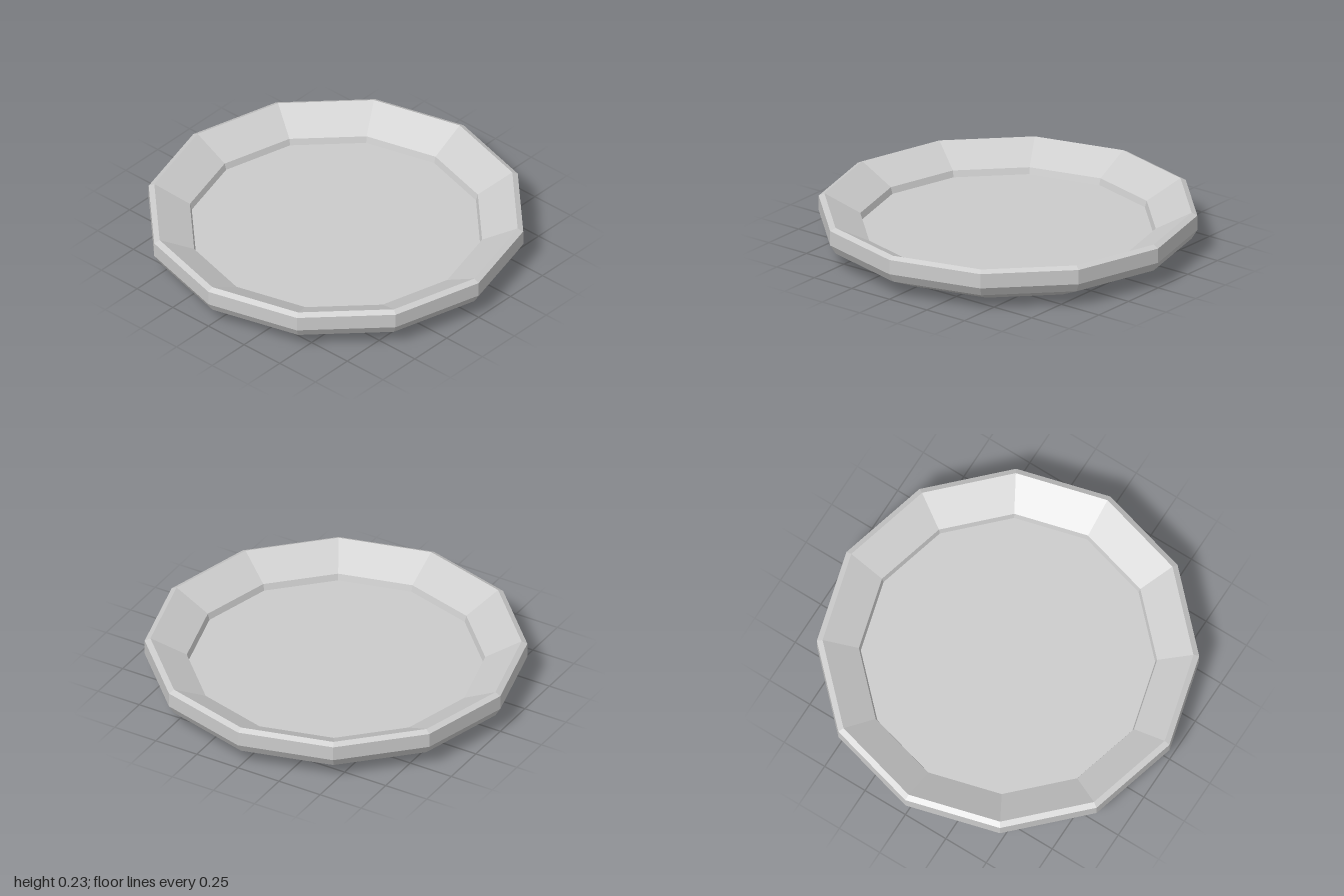
import * as THREE from 'three';

const SIDES = 12;

export function createModel() {
  const group = new THREE.Group();
  group.name = 'plate';
  const material = new THREE.MeshStandardMaterial({ color: 0xcccccc, flatShading: true });

  // Adds a twelve-sided turned part from [radius, height] pairs
  const turned = (name, profile) => {
    const points = profile.map(([r, y]) => new THREE.Vector2(r, y));
    const mesh = new THREE.Mesh(new THREE.LatheGeometry(points, SIDES), material);
    mesh.name = name;
    group.add(mesh);
  };

  // Flat base, flared underside, upright edge and bevelled lip
  turned('outerShell', [[0, 0], [0.77, 0], [0.97, 0.09], [1, 0.14], [1, 0.22], [0.97, 0.235]]);

  // Sloping rim that drops by a small step to the floor
  turned('innerRim', [[0.97, 0.235], [0.78, 0.135], [0.77, 0.1]]);

  // Flat eating surface
  turned('floor', [[0.77, 0.1], [0, 0.1]]);

  return group;
}
